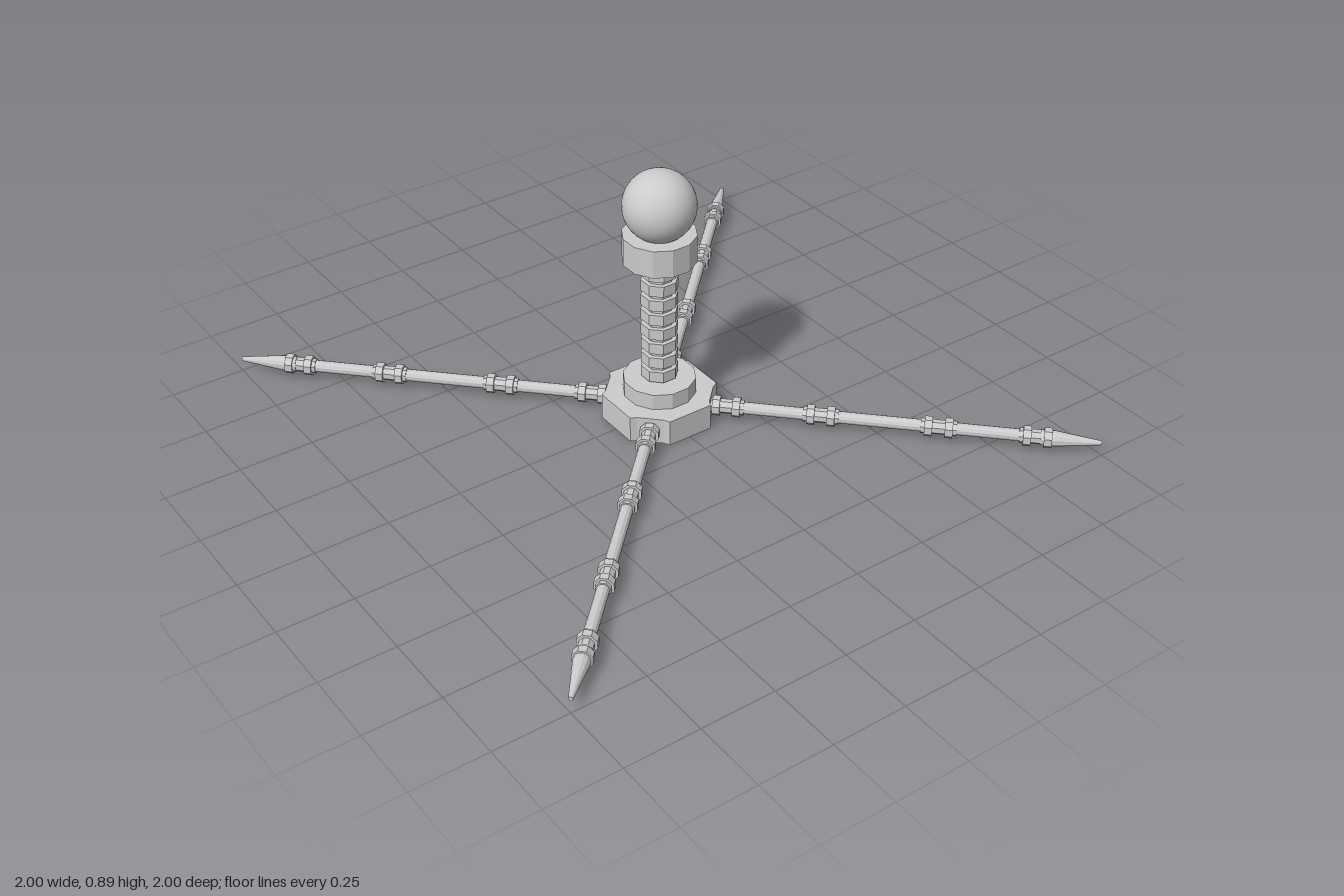
import * as THREE from 'three';

const flat = new THREE.MeshStandardMaterial({ color: 0xcccccc, flatShading: true });
const smooth = new THREE.MeshStandardMaterial({ color: 0xcccccc });

function add(parent, name, geometry, material = flat) {
  const mesh = new THREE.Mesh(geometry, material);
  mesh.name = name;
  parent.add(mesh);
  return mesh;
}

// Upright prism from y0 to y1 with a flat side facing the front
function prism(apothem, y0, y1, sides) {
  return new THREE.CylinderGeometry(apothem / Math.cos(Math.PI / sides), apothem / Math.cos(Math.PI / sides), y1 - y0, sides)
    .rotateY(Math.PI / sides).translate(0, (y0 + y1) / 2, 0);
}

// Solid of revolution along +x from [radius, distance] points
function alongX(points, sides) {
  return new THREE.LatheGeometry(points.map(([r, d]) => new THREE.Vector2(r, d)), sides)
    .rotateY(Math.PI / sides).rotateZ(-Math.PI / 2);
}

// Eight-sided hub plate with a recess at each leg and a round hole
function hubGeometry() {
  const shape = new THREE.Shape();
  const corner = [[0.17, -0.08], [0.17, 0.08], [0.15, 0.09], [0.09, 0.15]];
  for (let i = 0; i < 4; i++) {
    const c = Math.round(Math.cos(i * Math.PI / 2)), s = Math.round(Math.sin(i * Math.PI / 2));
    corner.forEach(([x, y], k) => {
      const px = x * c - y * s, py = x * s + y * c;
      if (i + k === 0) shape.moveTo(px, py); else shape.lineTo(px, py);
    });
  }
  shape.closePath();
  const hole = new THREE.Path();
  hole.absarc(0, 0, 0.055, 0, Math.PI * 2, true);
  shape.holes.push(hole);
  return new THREE.ExtrudeGeometry(shape, { depth: 0.09, bevelEnabled: false, curveSegments: 8 }).rotateX(-Math.PI / 2);
}

// Bar leg with ringed couplings and a tapered tip, built along +x
function makeLeg() {
  const leg = new THREE.Group();
  add(leg, 'legBar', alongX([[0, 0.15], [0.02, 0.15], [0.02, 1.23], [0, 1.23]], 12));
  for (const d of [0.22, 0.525, 0.9, 1.21]) {
    const h = 0.057, g = 0.02;
    add(leg, 'coupling', alongX([
      [0, d - h], [0.025, d - h], [0.025, d - h + 0.012], [0.033, d - h + 0.012], [0.033, d - g],
      [0.024, d - g], [0.024, d + g],
      [0.033, d + g], [0.033, d + h - 0.012], [0.025, d + h - 0.012], [0.025, d + h], [0, d + h]], 8));
  }
  add(leg, 'legTip', alongX([[0, 1.22], [0.026, 1.22], [0.026, 1.265], [0.007, 1.41], [0, 1.41]], 12));
  return leg;
}

export function createModel() {
  const model = new THREE.Group();

  // Base
  add(model, 'hub', hubGeometry());
  add(model, 'baseCollar', prism(0.115, 0.085, 0.145, 12));

  // Column of stacked rings
  add(model, 'columnCore', prism(0.042, 0.14, 0.59, 8));
  for (let i = 0; i < 8; i++) {
    const y = 0.172 + i * 0.0535;
    add(model, 'columnRing', prism(0.056, y - 0.019, y + 0.019, 8));
  }

  // Top collar and ball
  add(model, 'topCollar', prism(0.115, 0.58, 0.675, 12));
  add(model, 'ball', new THREE.SphereGeometry(0.117, 32, 24), smooth).position.y = 0.77;

  // Four diagonal legs
  for (let i = 0; i < 4; i++) {
    const leg = makeLeg();
    leg.name = 'leg';
    leg.position.y = 0.047;
    leg.rotation.y = Math.PI / 4 + i * Math.PI / 2;
    model.add(leg);
  }
  return model;
}
